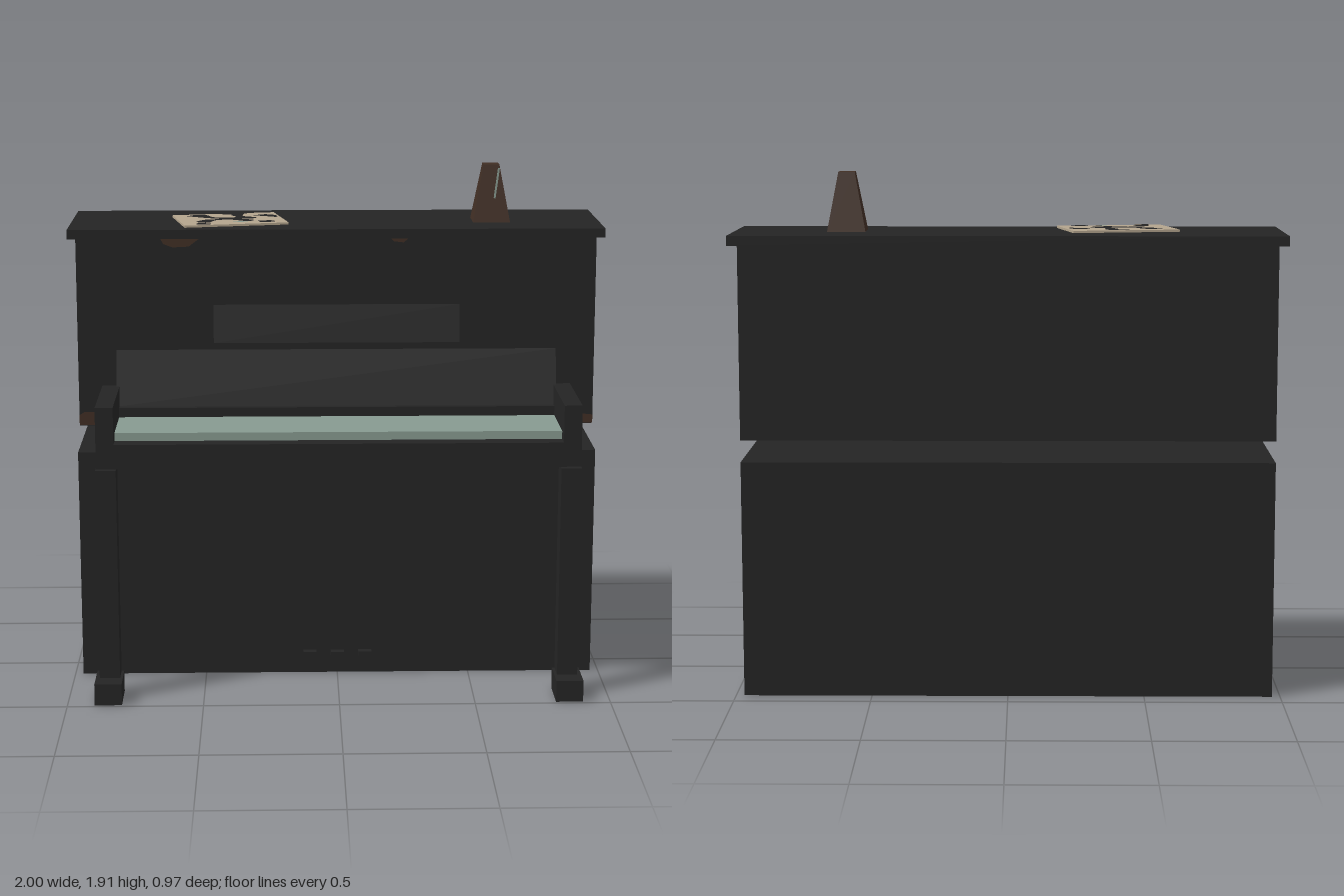
import * as THREE from 'three';

const paint = (name, color) => {
  const m = new THREE.MeshStandardMaterial({ color });
  m.name = name;
  return m;
};

export function createModel() {
  const model = new THREE.Group();
  model.name = 'uprightPiano';
  const black = paint('black lacquer', 0x242424);
  const brown = paint('bare wood', 0x402e24);
  const ivory = paint('grey green', 0x879a90);
  const paper = paint('paper', 0xb3a48d);

  const add = (name, geometry, material, parent = model) => {
    const mesh = new THREE.Mesh(geometry, material);
    mesh.name = name;
    parent.add(mesh);
    return mesh;
  };
  // Box given by its limits along each axis
  const box = (name, x0, x1, y0, y1, z0, z1, material = black) =>
    add(name, new THREE.BoxGeometry(x1 - x0, y1 - y0, z1 - z0)
      .translate((x0 + x1) / 2, (y0 + y1) / 2, (z0 + z1) / 2), material);
  const toShape = (points) => new THREE.Shape(points.map(([a, b]) => new THREE.Vector2(a, b)));
  // Side profile in (z, y), extruded across x
  const panel = (name, points, width) =>
    add(name, new THREE.ExtrudeGeometry(toShape(points), { depth: width, bevelEnabled: false })
      .rotateY(-Math.PI / 2).translate(width / 2, 0, 0), black);

  // Cabinet
  box('lowerCabinet', -0.97, 0.97, 0, 0.87, -0.42, 0.13);
  box('upperCabinet', -0.97, 0.97, 0.95, 1.66, -0.42, 0.025);
  box('lid', -1, 1, 1.66, 1.695, -0.485, 0.04);

  // Keyboard
  box('keyBed', -0.815, 0.815, 0.88, 0.97, 0.04, 0.43);
  box('keys', -0.815, 0.815, 0.97, 1.0, 0.11, 0.37, ivory);
  box('keyRail', -0.815, 0.815, 0.97, 1.035, 0.04, 0.11);
  panel('fallboard', [[0.028, 1.24], [0, 1.2], [0.042, 1.035], [0.084, 1.035]], 1.65);
  panel('musicStand', [[0.027, 1.41], [0.015, 1.41], [0.03, 1.265], [0.056, 1.27]], 0.92);

  // Arms, legs and feet
  for (const [side, s] of [['left', 1], ['right', -1]]) {
    const pair = (name, a, b, ...rest) =>
      box(side + name, Math.min(s * a, s * b), Math.max(s * a, s * b), ...rest);
    pair('Arm', 0.815, 0.88, 0.88, 1.107, 0.04, 0.43);
    pair('Leg', 0.81, 0.885, 0.08, 0.87, 0.33, 0.415);
    pair('Foot', 0.8, 0.9, 0, 0.08, 0.33, 0.487);
  }

  // Pedals
  for (const x of [-0.105, 0, 0.105]) box('pedal', x - 0.025, x + 0.025, 0.07, 0.09, 0.13, 0.16);

  // Worn patches on the upper front
  const patches = [
    [[-0.655, 1.66], [-0.645, 1.64], [-0.61, 1.627], [-0.55, 1.63], [-0.51, 1.66]],
    [[0.2, 1.66], [0.215, 1.647], [0.25, 1.643], [0.27, 1.66]],
    [[-0.97, 0.952], [-0.88, 0.952], [-0.885, 0.985], [-0.91, 1.003], [-0.95, 1.003], [-0.97, 0.99]],
    [[0.885, 0.952], [0.97, 0.952], [0.97, 0.983], [0.93, 0.987], [0.9, 0.978]],
  ];
  for (const points of patches) {
    add('wornPatch', new THREE.ShapeGeometry(toShape(points)), brown).position.z = 0.027;
  }

  // Metronome
  const metronome = new THREE.Group();
  metronome.name = 'metronome';
  metronome.position.set(0.59, 1.695, -0.195);
  model.add(metronome);
  const tower = new THREE.CylinderGeometry(0.03 * Math.SQRT2, 0.07 * Math.SQRT2, 0.215, 4, 1)
    .rotateY(Math.PI / 4).translate(0, 0.1075, 0).toNonIndexed();
  tower.computeVertexNormals();
  add('metronomeBody', tower, brown, metronome);
  const needle = add('metronomeNeedle', new THREE.BoxGeometry(0.007, 0.115, 0.005), ivory, metronome);
  needle.position.set(0.019, 0.147, 0.052);
  needle.rotation.z = -0.13;

  // Torn sheet lying on the lid
  const sheet = new THREE.Group();
  sheet.name = 'sheet';
  sheet.position.set(-0.4, 1.695, -0.177);
  sheet.rotation.y = 0.2;
  model.add(sheet);
  add('sheetPaper', new THREE.BoxGeometry(0.395, 0.008, 0.288).translate(0, 0.006, 0), paper, sheet);

  // Blots in sheet coordinates (x, -z)
  const blots = [
    [[-0.15, 0.09], [-0.11, 0.12], [-0.07, 0.1], [-0.06, 0.05], [-0.02, 0.02], [0.03, 0.03], [0.02, 0.09],
      [0.07, 0.11], [0.06, 0.05], [0.1, 0.01], [0.09, -0.02], [0.03, -0.01], [0.08, -0.06], [0.05, -0.09],
      [0, -0.04], [-0.06, -0.04], [-0.1, -0.1], [-0.14, -0.07], [-0.1, -0.02], [-0.04, -0.01], [-0.09, 0.03]],
    [[-0.02, 0.13], [0.04, 0.143], [0.09, 0.12], [0.05, 0.105], [0, 0.11]],
    [[0.1, 0.06], [0.15, 0.08], [0.185, 0.05], [0.18, 0.0], [0.14, 0.03]],
    [[0.09, -0.09], [0.14, -0.085], [0.15, -0.12], [0.1, -0.13]],
    [[-0.14, -0.1], [-0.1, -0.12], [-0.1, -0.143], [-0.15, -0.14]],
  ];
  const blot = (name, points, material, y) => {
    const curve = new THREE.SplineCurve([...points, points[0]].map(([a, b]) => new THREE.Vector2(a, b)));
    const shape = new THREE.Shape(curve.getPoints(points.length * 4).slice(0, -1));
    add(name, new THREE.ShapeGeometry(shape).rotateX(-Math.PI / 2), material, sheet).position.y = y;
  };
  blots.forEach((points) => blot('sheetBlot', points, black, 0.012));
  blot('sheetStain', [[-0.01, -0.1], [0.03, -0.09], [0.05, -0.105], [0.01, -0.115]], ivory, 0.013);

  return model;
}
